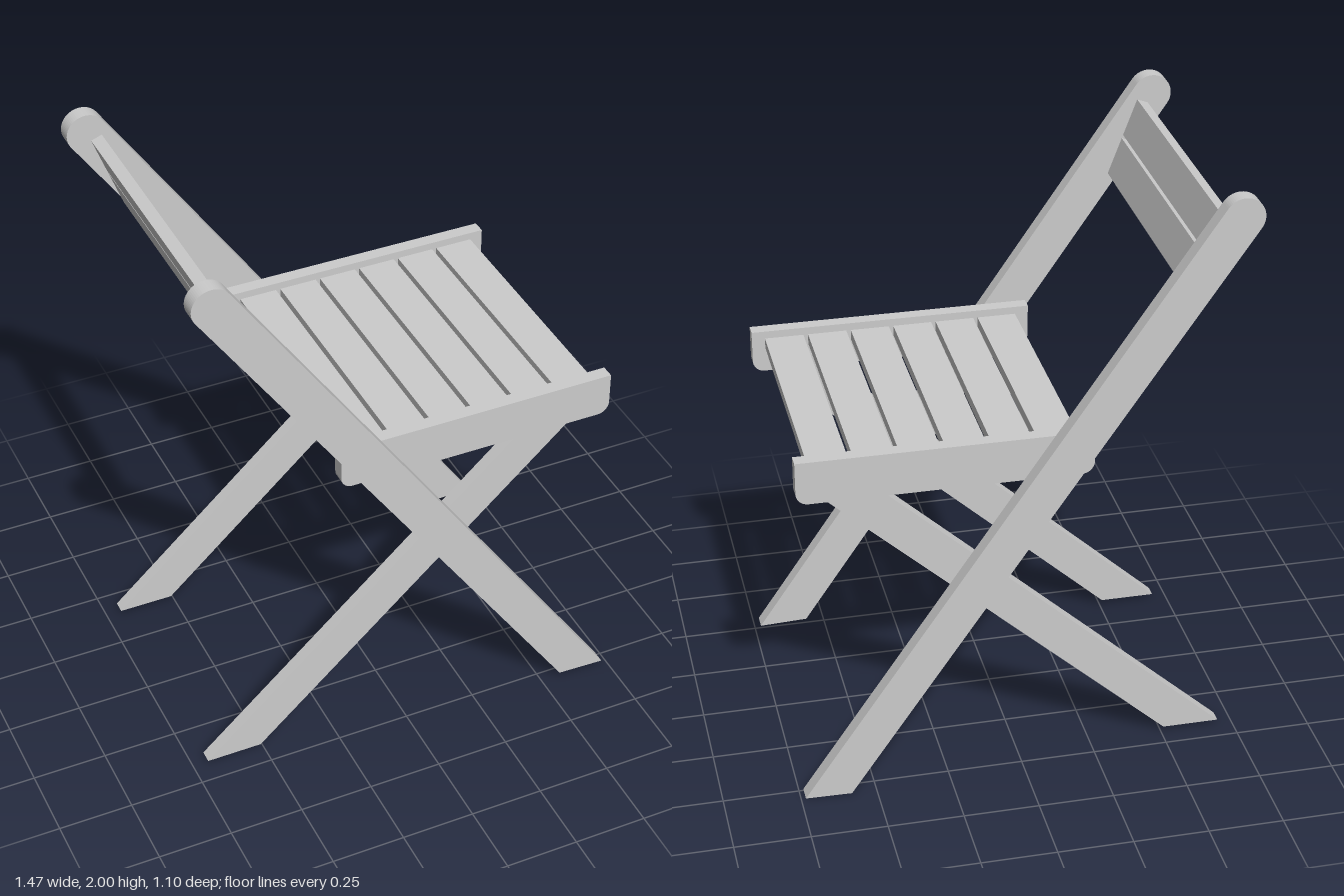
import * as THREE from 'three';

const material = new THREE.MeshStandardMaterial({ color: 0xcccccc });

// Extrude a side profile (x, y) between two z values
function plank(name, shape, z0, z1) {
  const geo = new THREE.ExtrudeGeometry(shape, { depth: z1 - z0, bevelEnabled: false, curveSegments: 16 });
  geo.translate(0, 0, z0);
  const mesh = new THREE.Mesh(geo, material);
  mesh.name = name;
  return mesh;
}

// Leg profile: a cut foot (rear and front corners) and a round end at (cx, cy)
function legShape(rear, front, cx, cy, r) {
  const dir = Math.atan2(cy - (rear[1] + front[1]) / 2, cx - (rear[0] + front[0]) / 2);
  const s = new THREE.Shape();
  s.moveTo(rear[0], rear[1]);
  s.lineTo(front[0], front[1]);
  s.absarc(cx, cy, r, dir - Math.PI / 2, dir + Math.PI / 2, false);
  s.closePath();
  return s;
}

// Seat rail profile: square on top, rounded lower corners
function railShape(x0, x1, y0, y1, r) {
  const s = new THREE.Shape();
  s.moveTo(x0, y1);
  s.lineTo(x0, y0 + r);
  s.absarc(x0 + r, y0 + r, r, Math.PI, Math.PI * 1.5, false);
  s.absarc(x1 - r, y0 + r, r, Math.PI * 1.5, Math.PI * 2, false);
  s.lineTo(x1, y1);
  s.closePath();
  return s;
}

function box(name, w, h, d, x, y, z) {
  const mesh = new THREE.Mesh(new THREE.BoxGeometry(w, h, d), material);
  mesh.name = name;
  mesh.position.set(x, y, z);
  return mesh;
}

export function createModel() {
  const chair = new THREE.Group();
  chair.name = 'foldingChair';

  // Long legs that run up into the backrest posts; the seat points to +x
  chair.add(plank('longLegNear', legShape([0.565, 0.02], [0.73, 0.013], -0.67, 1.934, 0.066), 0.492, 0.546));
  chair.add(plank('longLegFar', legShape([0.582, 0], [0.735, 0.003], -0.67, 1.934, 0.066), -0.55, -0.496));

  // Short crossing legs, seat rails and pivot pins on both sides
  const shortLeg = legShape([-0.7, 0.015], [-0.51, 0.015], 0.572, 1.09, 0.065);
  const rail = railShape(-0.235, 0.72, 1.07, 1.217, 0.04);
  for (const side of [1, -1]) {
    const span = (a, b) => (side > 0 ? [a, b] : [-b, -a]);
    chair.add(plank('shortLeg', shortLeg, ...span(0.387, 0.431)));
    chair.add(plank('seatRail', rail, ...span(0.437, 0.483)));
    const pin = new THREE.Mesh(new THREE.CylinderGeometry(0.033, 0.033, 0.08, 24), material);
    pin.name = 'pivotPin';
    pin.rotation.x = Math.PI / 2;
    pin.position.set(0.149, 0.698, side * 0.462);
    chair.add(pin);
  }

  // Six seat slats
  for (let i = 0; i < 6; i++) {
    chair.add(box('seatSlat', 0.131, 0.036, 0.876, -0.124 + i * 0.1468, 1.173, 0));
  }

  // Two backrest slats, leaning back together
  const back = new THREE.Group();
  back.name = 'backrest';
  back.position.set(-0.62, 1.918, -0.002);
  back.rotation.z = THREE.MathUtils.degToRad(20.5);
  for (const y of [-0.066, -0.21]) {
    back.add(box('backSlat', 0.039, 0.132, 0.99, -0.0195, y, 0));
  }
  chair.add(back);

  return chair;
}
